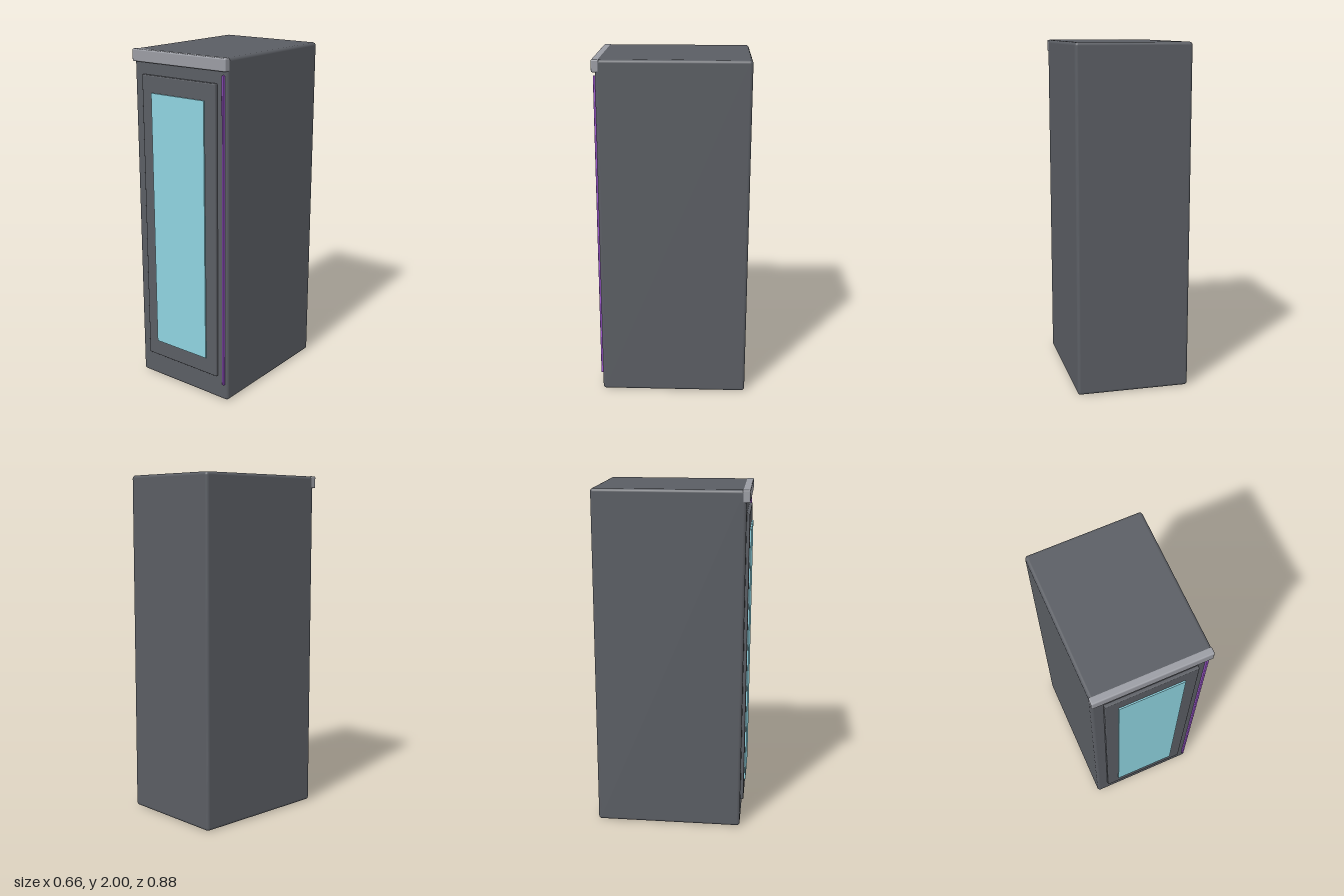
import * as THREE from 'three';
import { RoundedBoxGeometry } from 'three/addons/geometries/RoundedBoxGeometry.js';

// Rounded box given by its [min, max] extent on each axis
function block(name, color, [x0, x1], [y0, y1], [z0, z1], radius) {
  const w = x1 - x0, h = y1 - y0, d = z1 - z0;
  const geometry = radius
    ? new RoundedBoxGeometry(w, h, d, 4, radius)
    : new THREE.BoxGeometry(w, h, d);
  const mesh = new THREE.Mesh(geometry, new THREE.MeshStandardMaterial({ color }));
  mesh.name = name;
  mesh.position.set((x0 + x1) / 2, (y0 + y1) / 2, (z0 + z1) / 2);
  return mesh;
}

export function createModel() {
  const group = new THREE.Group();
  group.name = 'cabinet';
  const dark = 0x5a5d63;

  group.add(
    // Main housing
    block('body', dark, [-0.33, 0.33], [0, 1.999], [-0.442, 0.416], 0.018),
    // Raised front door with its glass pane
    block('frontPanel', dark, [-0.262, 0.262], [0.145, 1.862], [0.396, 0.434], 0.006),
    block('window', 0x8fd3e0, [-0.188, 0.188], [0.245, 1.765], [0.425, 0.442], 0),
    // Lip along the top front edge
    block('topTrim', 0x9a9ca3, [-0.331, 0.331], [1.93, 2], [0.393, 0.436], 0.008),
    // Thin light strip beside the door
    block('lightStrip', 0xa35bd6, [0.299, 0.312], [0.1, 1.91], [0.41, 0.428], 0.004)
  );
  return group;
}
